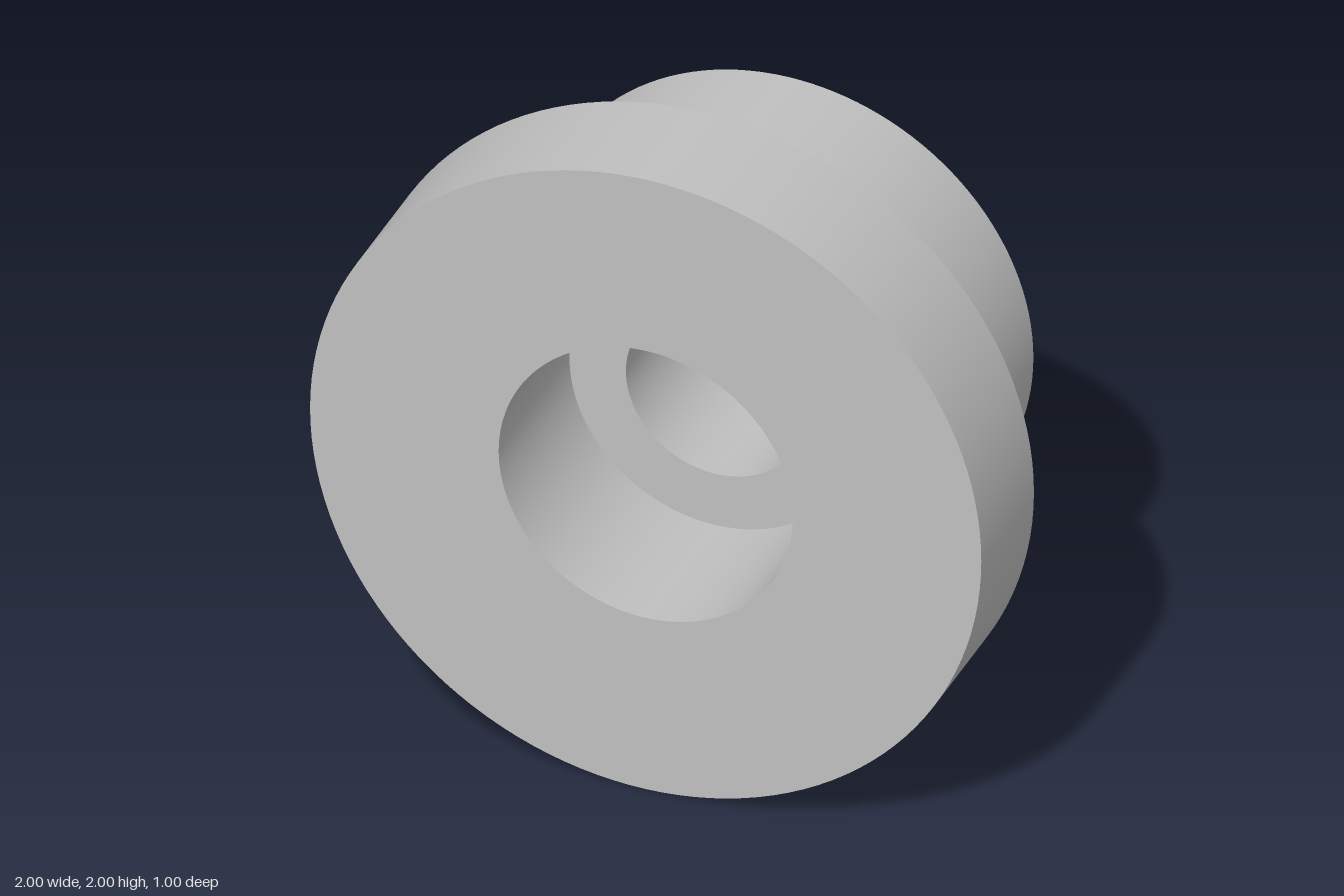
import * as THREE from 'three';
import { mergeGeometries } from 'three/addons/utils/BufferGeometryUtils.js';

const SEGMENTS = 128;

// Revolve each straight profile span on its own so that its edges stay sharp.
// Profile points are [radius, z]; the axis is turned to run along z.
function turned(profile) {
  const spans = profile.slice(1).map((end, i) =>
    new THREE.LatheGeometry([profile[i], end].map(([r, z]) => new THREE.Vector2(r, z)), SEGMENTS));
  return mergeGeometries(spans).rotateX(Math.PI / 2);
}

export function createModel() {
  const metal = new THREE.MeshStandardMaterial({ color: 0xc0c0c0 });
  metal.name = 'grey metal';

  const flangeR = 1, bossR = 0.737, counterboreR = 0.438, boreR = 0.27;
  const back = -0.5, shoulder = 0.125, floor = -0.005, front = 0.5;

  const parts = {
    // back face and outer wall of the narrow hub
    hub: [[boreR, back], [bossR, back], [bossR, shoulder]],
    // shoulder, rim and front face of the wide disc
    flange: [[bossR, shoulder], [flangeR, shoulder], [flangeR, front], [counterboreR, front]],
    // wide recess in the front with its flat floor
    counterbore: [[counterboreR, front], [counterboreR, floor], [boreR, floor]],
    // narrow hole through to the back
    bore: [[boreR, floor], [boreR, back]],
  };

  const model = new THREE.Group();
  model.name = 'flangedBushing';
  for (const [name, profile] of Object.entries(parts)) {
    const mesh = new THREE.Mesh(turned(profile), metal);
    mesh.name = name;
    mesh.position.y = flangeR;
    model.add(mesh);
  }
  return model;
}
